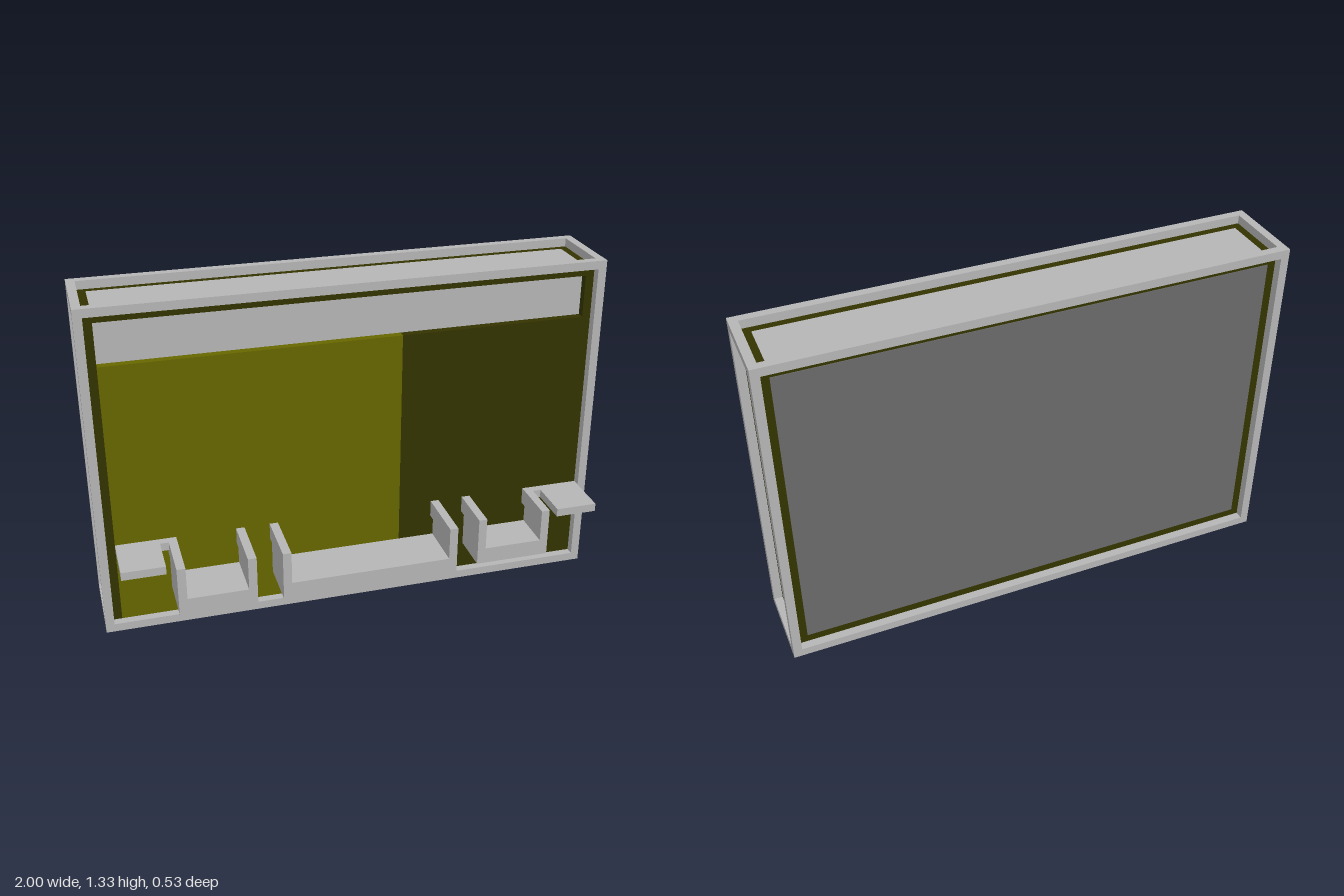
import * as THREE from 'three';

export function createModel() {
  const model = new THREE.Group();
  model.name = 'displayCase';
  const material = (name, color) => {
    const m = new THREE.MeshStandardMaterial({ color });
    m.name = name;
    return m;
  };
  const grey = material('grey', 0xb5b5b5);
  const darkGrey = material('darkGrey', 0x696969);
  const olive = material('olive', 0x666600);
  const darkOlive = material('darkOlive', 0x333300);

  // Box given by its extents on each axis
  const box = (name, mat, [x0, x1], [y0, y1], [z0, z1], parent = model) => {
    const mesh = new THREE.Mesh(new THREE.BoxGeometry(x1 - x0, y1 - y0, z1 - z0), mat);
    mesh.position.set((x0 + x1) / 2, (y0 + y1) / 2, (z0 + z1) / 2);
    mesh.name = name;
    parent.add(mesh);
  };
  const t = 1 / 30; // module size: thickness of all bars

  // Outer frame of bars, closed below by a flush base
  const frame = new THREE.Group();
  frame.name = 'outerFrame';
  model.add(frame);
  const X = [-1, 1], Y = [0, 40 * t], Z = [-8 * t, 2 * t];
  const ends = ([a, b]) => [[a, a + t], [b - t, b]];
  const inner = ([a, b]) => [a + t, b - t];
  box('base', grey, X, [0, t], Z, frame);
  for (const z of ends(Z)) box('topBar', grey, X, [39 * t, 40 * t], z, frame);
  for (const x of ends(X)) {
    for (const z of ends(Z)) box('uprightBar', grey, x, inner(Y), z, frame);
    box('topDepthBar', grey, x, [39 * t, 40 * t], inner(Z), frame);
  }

  // Two dashed dark lines under the base
  for (const z of [-6 * t, 0]) {
    for (let i = -28; i < 28; i++) {
      box('baseDash', darkOlive, [i * t, (i + 0.5) * t], [-0.001, 0.002], [z - 0.004, z + 0.004]);
    }
  }

  // Dark body with a raised front rim
  box('body', darkOlive, [-29 * t, 29 * t], [t, 39 * t], [-7 * t, 0]);
  const front = [0, t];
  box('rimTop', darkOlive, [-29 * t, 29 * t], [38 * t, 39 * t], front);
  box('rimLeft', darkOlive, [28 * t, 29 * t], [33 * t, 38 * t], front);
  box('rimRight', darkOlive, [-29 * t, -28 * t], [t, 38 * t], front);
  box('darkFrontPanel', darkOlive, [0.2, 29 * t], [t, 33 * t], front);
  box('oliveFrontPanel', olive, [-28 * t, 0.2], [t, 33 * t], front);

  // Thin plates on the body faces
  const p = 0.003;
  const px = [-28 * t, 28 * t], py = [2 * t, 38 * t], pz = [-6 * t, 0];
  box('headerPlate', grey, px, [33 * t, 38 * t], [0, p]);
  box('backPlate', darkGrey, px, py, [-7 * t - p, -7 * t]);
  box('topPlate', grey, px, [39 * t, 39 * t + p], pz);
  box('leftPlate', grey, [29 * t, 29 * t + p], py, pz);
  box('rightPlate', grey, [-29 * t - p, -29 * t], py, pz);

  // U-shaped holders: a floor and two side walls hooked at the back
  const holder = (name, x0, x1, depth) => {
    const g = new THREE.Group();
    g.name = name;
    model.add(g);
    const z = [2 * t, depth];
    box('floor', grey, [x0 + t, x1 - t], [5 * t, 7 * t], z, g);
    for (const x of ends([x0, x1])) {
      box('wall', grey, x, [5 * t, 11 * t], z, g);
      box('wallHook', grey, x, [9 * t, 11 * t], [t, 2 * t], g);
    }
  };
  holder('rightHolder', -22 * t, -13 * t, 8 * t);
  holder('centreHolder', -10 * t, 11 * t, 8 * t);
  holder('leftHolder', 14 * t, 23 * t, 7 * t);

  // Side shelves, joined to the holders by a short strip at the back
  const sy = [10 * t, 11 * t];
  box('rightShelf', grey, [-28 * t, -23 * t], sy, [t, 7 * t]);
  box('rightShelfStrip', grey, [-23 * t, -22 * t], sy, [t, 2 * t]);
  box('leftShelf', grey, [24 * t, 29 * t], sy, [t, 7 * t]);
  box('leftShelfStrip', grey, [23 * t, 24 * t], sy, [t, 2 * t]);

  return model;
}
